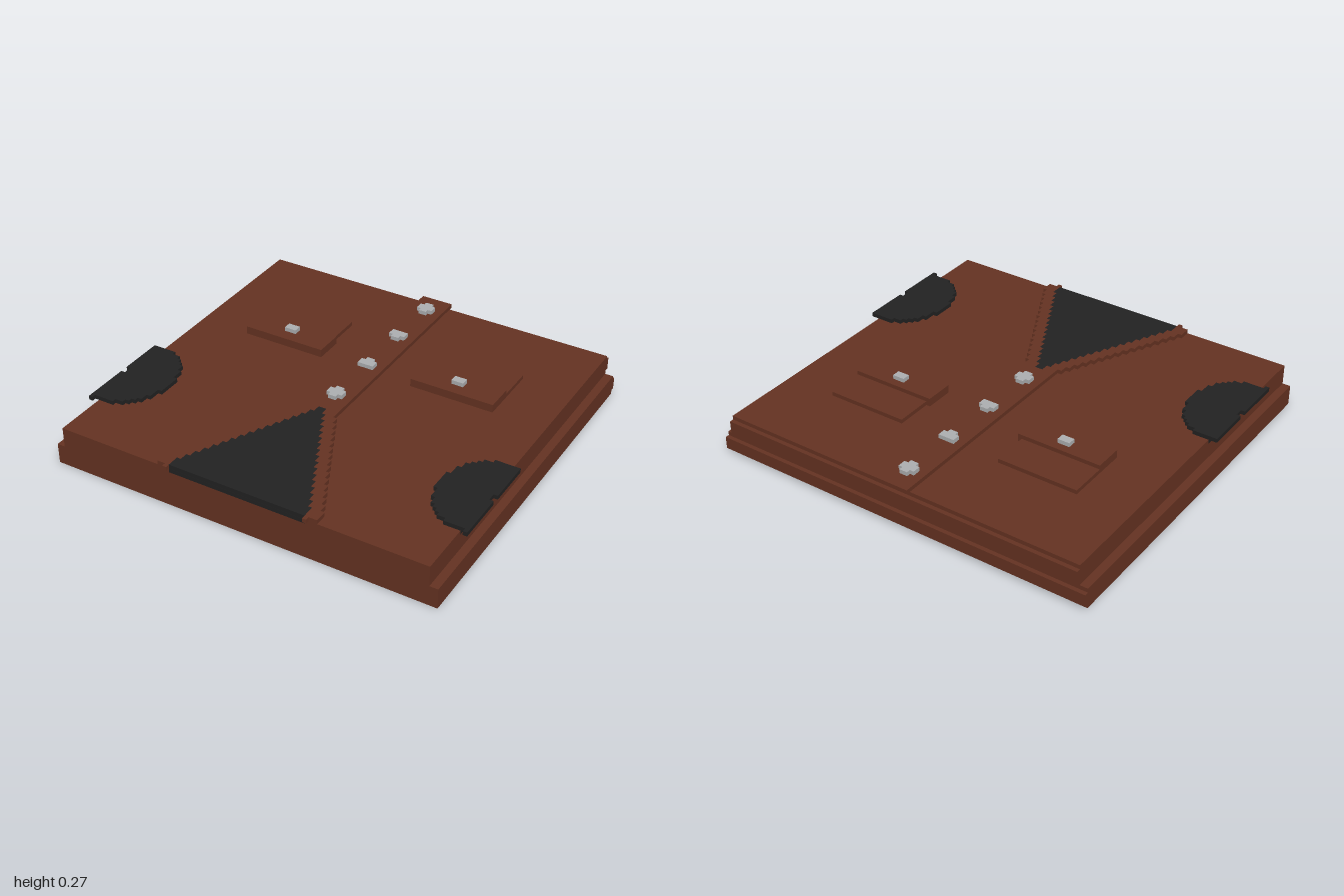
import * as THREE from 'three';

// All sizes below are in small blocks; 48 blocks make one unit.
const BLOCK = 1 / 48;

export function createModel() {
  const brown = new THREE.MeshStandardMaterial({ color: 0x663322 });
  const black = new THREE.MeshStandardMaterial({ color: 0x222222 });
  const silver = new THREE.MeshStandardMaterial({ color: 0xaeb0b2 });
  brown.name = 'brown leather';
  black.name = 'black cloth';
  silver.name = 'silver metal';

  const model = new THREE.Group();
  model.name = 'jacketPanel';
  const blocks = new THREE.Group();
  blocks.name = 'blocks';
  blocks.scale.setScalar(BLOCK);
  model.add(blocks);

  function add(name, geometry, material) {
    const mesh = new THREE.Mesh(geometry, material);
    mesh.name = name;
    blocks.add(mesh);
  }

  // Box given by its lower and upper limits on each axis
  function box(name, material, x0, x1, y0, y1, z0, z1) {
    const geometry = new THREE.BoxGeometry(Math.abs(x1 - x0), y1 - y0, z1 - z0);
    geometry.translate((x0 + x1) / 2, (y0 + y1) / 2, (z0 + z1) / 2);
    add(name, geometry, material);
  }

  // Flat plate with an outline of [x, z] points
  function plate(name, material, outline, y0, y1) {
    const shape = new THREE.Shape(outline.map(([x, z]) => new THREE.Vector2(x, -z)));
    const geometry = new THREE.ExtrudeGeometry(shape, { depth: y1 - y0, bevelEnabled: false });
    geometry.rotateX(-Math.PI / 2).translate(0, y0, 0);
    add(name, geometry, material);
  }

  // Stepped edge: one x value for each row of blocks along z
  function steps(z0, rows, xAt) {
    const points = [];
    for (let i = 0; i < rows; i++) {
      const x = xAt(i);
      const last = points[points.length - 1];
      if (last && last[0] === x) last[1] = z0 + i + 1;
      else points.push([x, z0 + i], [x, z0 + i + 1]);
    }
    return points;
  }

  // Two-layer body with ridges along the back
  box('lowerBody', brown, -48, 48, 0, 5, -44.5, 44.5);
  box('upperBody', brown, -46, 46, 5, 10, -44.5, 44.5);
  box('lowerBackRidge', brown, -48, 48, 1, 4, -45.5, -44.5);
  box('upperBackRidge', brown, -46, 46, 6, 9, -45.5, -44.5);

  // Raised strip down the middle
  box('placket', brown, -4, 4, 10, 11, -45.5, 9.5);

  // Dark opening widening toward the front
  const halfWidth = (i) => Math.min(17, Math.floor(i / 2) + 1);
  const rightEdge = steps(9.5, 35, (i) => -halfWidth(i));
  const leftEdge = steps(9.5, 35, halfWidth);
  plate('opening', black, [...leftEdge, ...rightEdge.reverse()], 10, 11);
  box('openingFrontEdge', black, -17, 17, 9, 10, 44, 44.55);

  for (const side of [1, -1]) {
    const label = side > 0 ? 'left' : 'right';

    // Trim beside the opening
    const inner = steps(9.5, 35, (i) => side * halfWidth(i));
    const outer = steps(9.5, 35, (i) => side * (halfWidth(i) + 3));
    plate(label + 'Trim', brown, [...inner, ...outer.reverse()], 10, 11);
    box(label + 'TrimTip', brown, side * 17, side * 18, 10, 11, 44.5, 45.5);

    // Chest pocket with flap and stud
    box(label + 'Pocket', brown, side * 13, side * 33, 10, 11, -25.5, -16.5);
    box(label + 'PocketFlap', brown, side * 12, side * 33, 10, 12, -16.5, -9.5);
    box(label + 'PocketStud', silver, side * 21, side * 24, 12, 13, -14.5, -12.5);

    // Half-round patch, notched at its outer edge
    const arc = steps(7.5, 24, (i) => {
      const dz = i + 0.5 - 12;
      return side * (48 - Math.round(Math.sqrt(169 - dz * dz) - 0.1));
    });
    const rim = [[47, 31.5], [47, 32.5], [48, 32.5], [48, 20.5], [47, 20.5], [47, 18.5], [48, 18.5], [48, 7.5]];
    plate(label + 'Patch', black, [...arc, ...rim.map(([x, z]) => [side * x, z])], 10, 11);
    box(label + 'PatchEdge', black, side * 45, side * 46.05, 9, 10, 7.5, 31.5);
  }

  // Studs on the placket: [start of wide part, nub behind, nub in front]
  const studs = [[-40.5, 1, 1], [-26.5, 0, 1], [-11.5, 1, 0], [2.5, 1, 1]];
  for (const [z, back, front] of studs) {
    const outline = [[-2, z], [-2, z + 2]];
    if (front) outline.push([-1, z + 2], [-1, z + 3], [1, z + 3], [1, z + 2]);
    outline.push([2, z + 2], [2, z]);
    if (back) outline.push([1, z], [1, z - 1], [-1, z - 1], [-1, z]);
    plate('placketStud', silver, outline, 11, 12);
  }

  return model;
}
